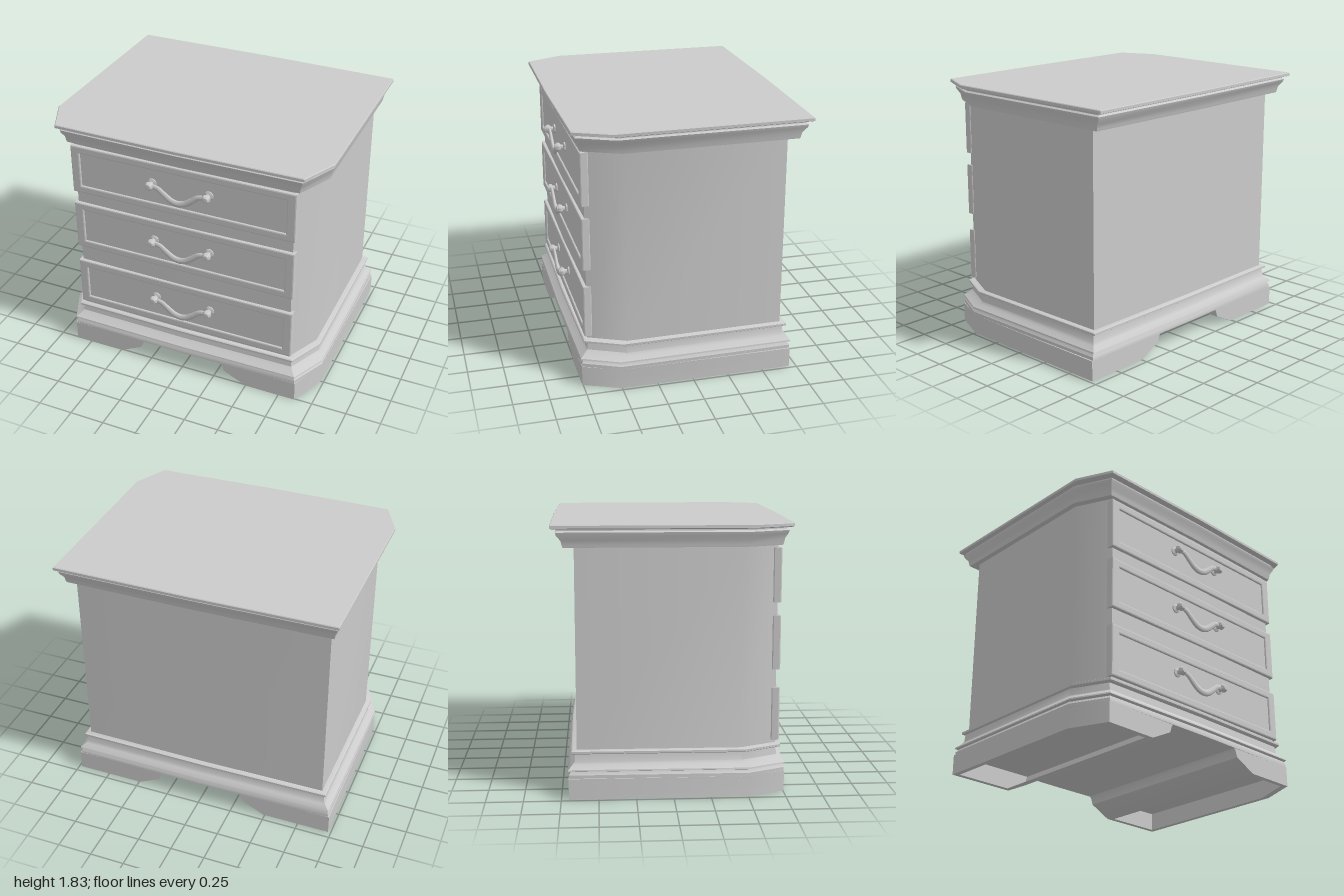
import * as THREE from 'three';
import { toCreasedNormals } from 'three/addons/utils/BufferGeometryUtils.js';

const material = new THREE.MeshStandardMaterial({ color: 0xcccccc, side: THREE.DoubleSide });

function add(parent, name, geometry, x = 0, y = 0, z = 0) {
  const mesh = new THREE.Mesh(geometry, material);
  mesh.name = name;
  mesh.position.set(x, y, z);
  parent.add(mesh);
  return mesh;
}

// Skin stacked rings of { y, pts: [[x, z], ...] }, closing the first and last ring.
function loft(rings) {
  const n = rings[0].pts.length, pos = [], index = [];
  rings.forEach(r => r.pts.forEach(([x, z]) => pos.push(x, r.y, z)));
  for (let k = 0; k < rings.length - 1; k++) {
    for (let i = 0; i < n; i++) {
      const a = k * n + i, b = k * n + (i + 1) % n;
      index.push(a, b, b + n, a, b + n, a + n);
    }
  }
  const last = (rings.length - 1) * n;
  for (let i = 1; i < n - 1; i++) {
    index.push(0, i + 1, i);
    index.push(last, last + i, last + i + 1);
  }
  const g = new THREE.BufferGeometry();
  g.setAttribute('position', new THREE.Float32BufferAttribute(pos, 3));
  g.setIndex(index);
  return toCreasedNormals(g, 0.6);
}

// Cabinet footprint: clipped front corners, slightly bowed front and back.
function footprint(y, w, zf, zb, bow = 0.01) {
  const c = w - 0.115, s = zf - 0.26;
  return { y, pts: [
    [-c, zf - bow], [0, zf], [c, zf - bow], [w, s],
    [w - bow, zb + bow], [0, zb], [-w + bow, zb + bow], [-w, s],
  ] };
}

// Footprint of one foot, from its inner edge out to the cabinet side.
function footRing(side, y, inner, inset) {
  const w = 0.98 - inset, zf = 0.755 - inset, zb = -0.7 + inset, i = inner + inset;
  const pts = [[i, zf], [w - 0.11, zf], [w, zf - 0.26], [w, zb], [i, zb]];
  return { y, pts: side > 0 ? pts : pts.map(([x, z]) => [-x, z]).reverse() };
}

function rect(w, h) {
  return [[-w, -h], [w, -h], [w, h], [-w, h]].map(([x, y]) => new THREE.Vector2(x, y));
}

function createHandle() {
  const handle = new THREE.Group();
  handle.name = 'handle';
  // Turned posts
  const profile = [[0.032, 0], [0.032, 0.008], [0.016, 0.016], [0.016, 0.03], [0.027, 0.038],
    [0.031, 0.05], [0.028, 0.06], [0.022, 0.068], [0.02, 0.074], [0, 0.077]]
    .map(([r, h]) => new THREE.Vector2(r, h));
  const post = toCreasedNormals(new THREE.LatheGeometry(profile, 20).rotateX(Math.PI / 2), 0.8);
  for (const s of [-1, 1]) add(handle, 'handlePost', post, s * 0.207, 0, 0.712);
  // Drooping bail, flattened front to back and thicker in the middle
  const path = new THREE.CatmullRomCurve3([[-0.205, 0], [-0.15, -0.008], [-0.1, -0.045], [-0.05, -0.08],
    [0, -0.092], [0.05, -0.08], [0.1, -0.045], [0.15, -0.008], [0.205, 0]]
    .map(([x, y]) => new THREE.Vector3(x, y, 0)));
  const bail = new THREE.TubeGeometry(path, 40, 0.024, 12);
  const p = bail.attributes.position, v = new THREE.Vector3();
  for (let i = 0; i < p.count; i++) {
    const t = Math.floor(i / 13) / 40, c = path.getPointAt(t);
    v.fromBufferAttribute(p, i).sub(c).multiplyScalar(0.7 + 0.3 * Math.sin(Math.PI * t));
    p.setXYZ(i, c.x + v.x, c.y + v.y, c.z + v.z * 0.6);
  }
  bail.computeVertexNormals();
  add(handle, 'handleBail', bail, 0, 0, 0.757);
  return handle;
}

function createDrawer(y, handleY) {
  const drawer = new THREE.Group();
  drawer.name = 'drawer';
  // Raised frame around a sunken panel
  const frame = new THREE.Shape(rect(0.81, 0.173));
  frame.holes.push(new THREE.Path(rect(0.763, 0.137).reverse()));
  const frameGeometry = new THREE.ExtrudeGeometry(frame, {
    depth: 0.042, bevelEnabled: true, bevelThickness: 0.008, bevelSize: 0.01, bevelSegments: 2,
  });
  add(drawer, 'drawerFrame', frameGeometry, 0, y, 0.675);
  add(drawer, 'drawerPanel', new THREE.BoxGeometry(1.54, 0.29, 0.04), 0, y, 0.692);
  const handle = createHandle();
  handle.position.y = handleY;
  drawer.add(handle);
  return drawer;
}

export function createModel() {
  const model = new THREE.Group();
  model.name = 'nightstand';

  // Carcass
  add(model, 'body', loft([footprint(0.3, 0.915, 0.71, -0.655), footprint(1.7, 0.915, 0.71, -0.655)]));

  // Thin top over a moulded cornice
  add(model, 'top', loft([
    footprint(1.795, 0.985, 0.785, -0.785),
    footprint(1.802, 1, 0.8, -0.805),
    footprint(1.82, 1, 0.8, -0.805),
    footprint(1.825, 0.996, 0.796, -0.801),
  ]));
  add(model, 'cornice', loft([
    footprint(1.675, 0.952, 0.735, -0.725),
    footprint(1.69, 0.955, 0.74, -0.73),
    footprint(1.72, 0.96, 0.745, -0.737),
    footprint(1.755, 0.977, 0.765, -0.765),
    footprint(1.775, 0.982, 0.772, -0.772),
    footprint(1.785, 0.97, 0.76, -0.76),
    footprint(1.8, 0.97, 0.76, -0.76),
  ]));

  // Base mouldings
  add(model, 'baseBead', loft([
    footprint(0.298, 0.94, 0.735, -0.68),
    footprint(0.304, 0.949, 0.742, -0.69),
    footprint(0.318, 0.949, 0.742, -0.69),
    footprint(0.324, 0.94, 0.735, -0.68),
  ]));
  add(model, 'baseMoulding', loft([
    footprint(0.185, 0.965, 0.755, -0.7),
    footprint(0.192, 0.982, 0.77, -0.715),
    footprint(0.202, 0.98, 0.768, -0.712),
    footprint(0.228, 0.95, 0.735, -0.685),
    footprint(0.245, 0.938, 0.718, -0.672),
    footprint(0.3, 0.932, 0.71, -0.668),
  ]));
  add(model, 'plinth', loft([
    footprint(0.14, 0.98, 0.763, -0.708),
    footprint(0.165, 0.98, 0.763, -0.708),
    footprint(0.182, 0.968, 0.752, -0.697),
    footprint(0.19, 0.965, 0.75, -0.695),
  ]));

  // Hollow feet with ramped inner edges, leaving an arch front to back
  for (const side of [-1, 1]) {
    add(model, side > 0 ? 'leftFoot' : 'rightFoot', loft([
      footRing(side, 0.13, 0.315, 0.035),
      footRing(side, 0.08, 0.33, 0.035),
      footRing(side, 0, 0.49, 0.035),
      footRing(side, 0, 0.49, 0),
      footRing(side, 0.08, 0.33, 0),
      footRing(side, 0.125, 0.315, 0),
      footRing(side, 0.142, 0.3, 0),
    ]));
  }

  // Drawers
  for (const [y, handleY] of [[1.472, 1.497], [1.017, 1.04], [0.527, 0.553]]) {
    model.add(createDrawer(y, handleY));
  }
  return model;
}
